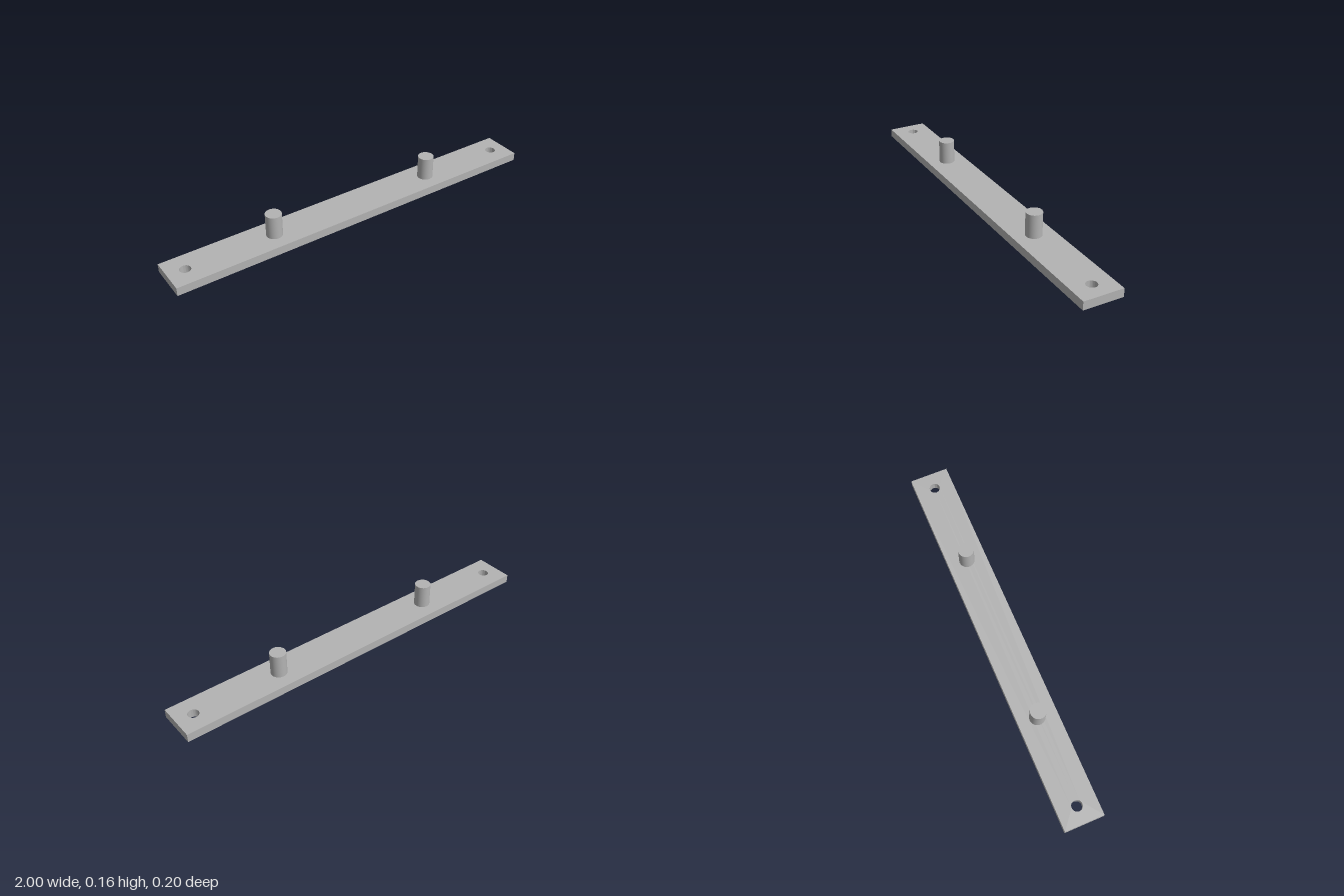
import * as THREE from 'three';
import { toCreasedNormals } from 'three/addons/utils/BufferGeometryUtils.js';

const LENGTH = 2, WIDTH = 0.202, THICKNESS = 0.043;
const HOLE_X = 0.912, HOLE_R = 0.027;
const PEG_X = 0.453, PEG_R = 0.04, PEG_TOP = 0.162;

export function createModel() {
  const model = new THREE.Group();
  model.name = 'mountingBar';
  const metal = new THREE.MeshStandardMaterial({ color: 0xb3b3b3 });
  metal.name = 'grey metal';

  // Flat bar with a through hole near each end
  const outline = new THREE.Shape();
  outline.moveTo(-LENGTH / 2, -WIDTH / 2);
  outline.lineTo(LENGTH / 2, -WIDTH / 2);
  outline.lineTo(LENGTH / 2, WIDTH / 2);
  outline.lineTo(-LENGTH / 2, WIDTH / 2);
  outline.closePath();
  for (const side of [-1, 1]) {
    const hole = new THREE.Path();
    hole.absarc(side * HOLE_X, 0, HOLE_R, 0, Math.PI * 2, true);
    outline.holes.push(hole);
  }
  const barGeometry = new THREE.ExtrudeGeometry(outline, {
    depth: THICKNESS, bevelEnabled: false, curveSegments: 32,
  });
  barGeometry.rotateX(-Math.PI / 2);
  const bar = new THREE.Mesh(toCreasedNormals(barGeometry, Math.PI / 6), metal);
  bar.name = 'bar';
  model.add(bar);

  // Two round pegs standing on the bar
  const pegHeight = PEG_TOP - THICKNESS;
  const pegGeometry = new THREE.CylinderGeometry(PEG_R, PEG_R, pegHeight, 48);
  for (const side of [-1, 1]) {
    const peg = new THREE.Mesh(pegGeometry, metal);
    peg.name = side > 0 ? 'leftPeg' : 'rightPeg';
    peg.position.set(side * PEG_X, THICKNESS + pegHeight / 2, 0);
    model.add(peg);
  }
  return model;
}
